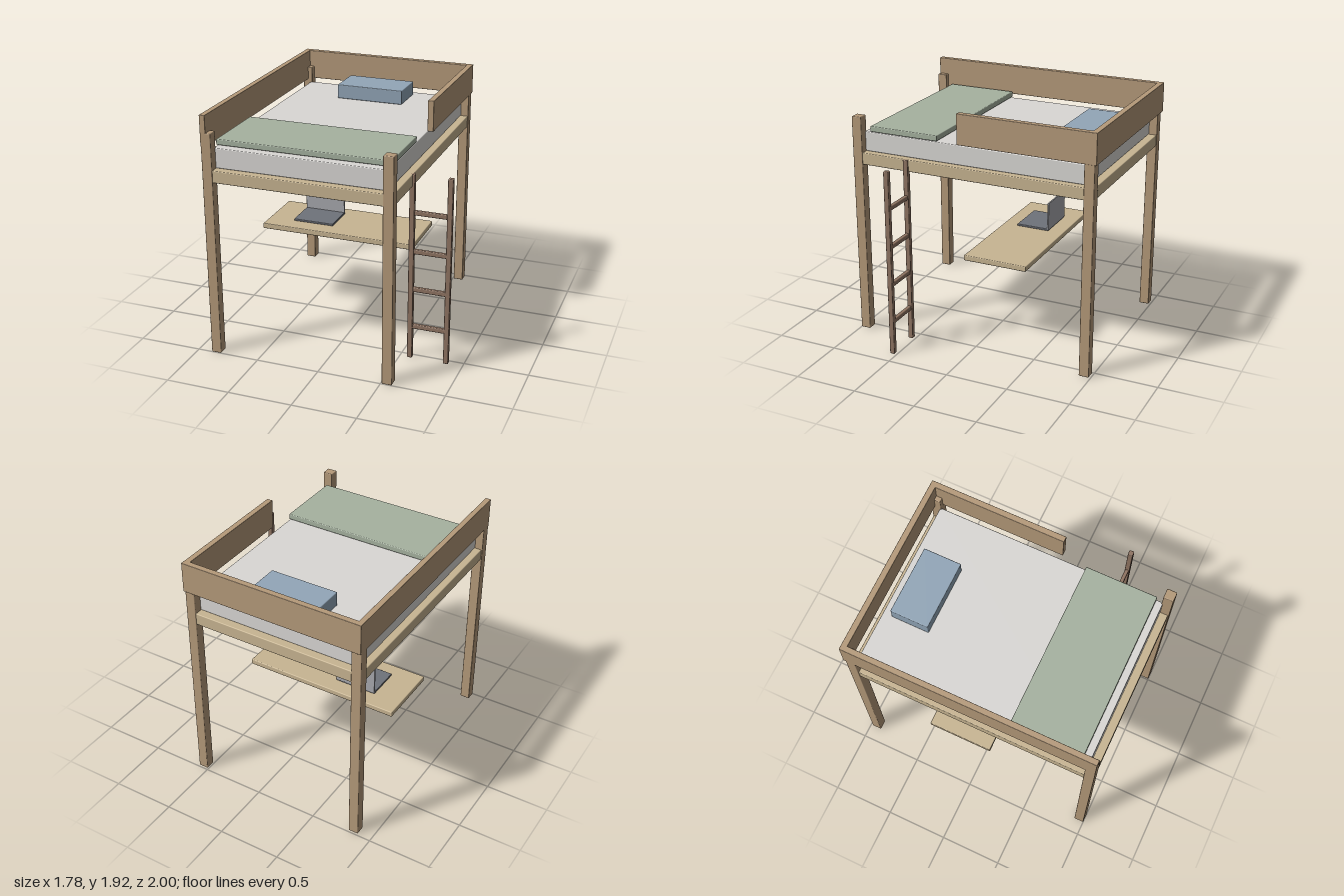
import * as THREE from 'three';
import { RoundedBoxGeometry } from 'three/addons/geometries/RoundedBoxGeometry.js';

const material = (color) => new THREE.MeshStandardMaterial({ color });

export function createModel() {
  const model = new THREE.Group();
  model.name = 'loftBed';

  const wood = material(0xb59a7a);
  const paleWood = material(0xc8b592);
  const darkWood = material(0x8f7462);

  // Softly bevelled box given by its extents on each axis
  function box(name, mat, [x0, x1], [y0, y1], [z0, z1], parent = model, bevel = 0.007) {
    const geometry = new RoundedBoxGeometry(x1 - x0, y1 - y0, z1 - z0, 2, bevel);
    const mesh = new THREE.Mesh(geometry, mat);
    mesh.position.set((x0 + x1) / 2, (y0 + y1) / 2, (z0 + z1) / 2);
    mesh.name = name;
    parent.add(mesh);
    return mesh;
  }

  function group(name) {
    const g = new THREE.Group();
    g.name = name;
    model.add(g);
    return g;
  }

  // Four corner posts
  const posts = group('posts');
  for (const [xName, x] of [['Left', 0.548], ['Right', -0.848]]) {
    for (const [zName, z] of [['front', 0.96], ['back', -0.945]]) {
      box(`${zName}${xName}Post`, wood, [x - 0.04, x + 0.04], [0, 1.79], [z - 0.04, z + 0.04], posts);
    }
  }

  // Solid bed platform and bedding
  box('platform', paleWood, [-0.88, 0.582], [1.41, 1.505], [-0.98, 0.993]);
  box('mattress', material(0xdad8d5), [-0.825, 0.525], [1.505, 1.66], [-0.918, 0.93]);
  box('blanket', material(0xa6b2a0), [-0.828, 0.528], [1.665, 1.71], [0.3, 0.875]);
  box('pillow', material(0x92a6b8), [-0.43, 0.125], [1.66, 1.775], [-0.845, -0.54]);

  // Guard boards: full length on one side, across the back, half length by the ladder
  const guards = group('guardBoards');
  const guardY = [1.685, 1.925];
  box('backGuard', wood, [-0.89, 0.592], guardY, [-1, -0.953], guards, 0.004);
  box('rightGuard', wood, [-0.89, -0.845], guardY, [-1, 1], guards, 0.004);
  box('leftGuard', wood, [0.545, 0.592], guardY, [-0.96, 0.1], guards, 0.004);

  // Ladder standing out from the side
  const ladder = group('ladder');
  for (const x of [0.558, 0.847]) {
    box('ladderStile', darkWood, [x, x + 0.04], [0, 1.505], [0.518, 0.558], ladder);
  }
  for (let i = 0; i < 4; i++) {
    const y = 0.27 + i * 0.311;
    box('ladderRung', darkWood, [0.58, 0.865], [y - 0.018, y + 0.018], [0.523, 0.553], ladder);
  }

  // Desk with an open laptop
  box('deskTop', paleWood, [-0.83, 0.45], [0.7, 0.744], [-0.4, 0.125]);
  const laptop = group('laptop');
  box('laptopBase', material(0x6f737b), [-0.61, -0.27], [0.748, 0.765], [-0.278, -0.003], laptop, 0.004);
  box('laptopScreen', material(0xa8a9ae), [-0.61, -0.27], [0.758, 0.987], [-0.281, -0.267], laptop, 0.004);

  return model;
}
